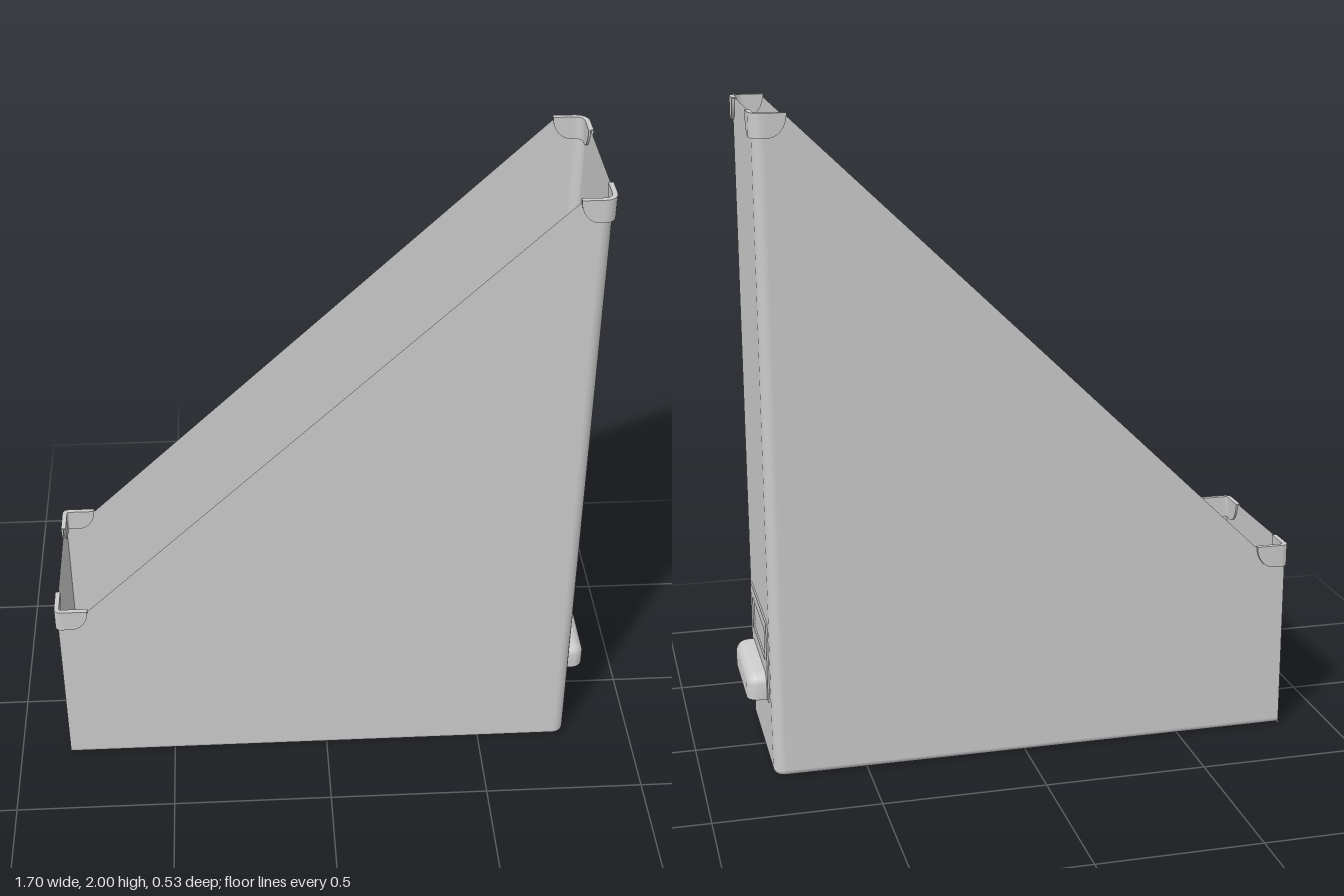
import * as THREE from 'three';
import { toCreasedNormals } from 'three/addons/utils/BufferGeometryUtils.js';
import { RoundedBoxGeometry } from 'three/addons/geometries/RoundedBoxGeometry.js';

const X0 = -0.84, X1 = 0.785, Z = 0.255;   // body limits
const LOW = 0.61, HIGH = 2;                // rim heights
const SLOPE0 = -0.74, SLOPE1 = 0.7;        // x where the sloped rim starts and ends

const rimHeight = (x) =>
  LOW + (HIGH - LOW) * THREE.MathUtils.clamp((x - SLOPE0) / (SLOPE1 - SLOPE0), 0, 1);

// Surface through rows of points that all have the same length
function loft(rows, closed = false) {
  const n = rows[0].length, index = [];
  for (let i = 0; i < rows.length - 1; i++) {
    for (let j = 0; j < (closed ? n : n - 1); j++) {
      const k = (j + 1) % n;
      const a = i * n + j, b = i * n + k, c = a + n, d = b + n;
      index.push(a, b, c, b, d, c);
    }
  }
  const g = new THREE.BufferGeometry();
  g.setAttribute('position', new THREE.Float32BufferAttribute(rows.flat(2), 3));
  g.setIndex(index);
  g.computeVertexNormals();
  return g;
}

// Plan outline of the two sides and the spine, moved inwards by d
function outline(d) {
  const r = 0.035 - d, half = [];
  for (const x of [X0, SLOPE0, SLOPE1]) half.push([x, Z - d]);
  for (let i = 0; i <= 6; i++) {
    const a = (i / 6) * Math.PI / 2;
    half.push([X1 - 0.035 + r * Math.sin(a), Z - 0.035 + r * Math.cos(a)]);
  }
  return [...half, ...half.map(([x, z]) => [x, -z]).reverse()];
}

// Sides and spine in one sheet, with a rounded lip turned in at the bottom
function shellGeometry() {
  const R = 0.02, rows = [];
  for (let i = 0; i <= 5; i++) {
    const a = (i / 5) * Math.PI / 2;
    rows.push(outline(R * (1 - Math.sin(a))).map(([x, z]) => [x, R * (1 - Math.cos(a)), z]));
  }
  rows.push(outline(0).map(([x, z]) => [x, rimHeight(x), z]));
  return loft(rows);
}

// Bent corner guard: thin section swept round the corner, lower ends rounded off
function guardGeometry(sx, sz, cx, top, r) {
  const W = 0.095, H = 0.07, CURVE = 0.055, OUT = 0.009, IN = 0.006;
  const stations = [];                       // [distance x, distance z, normal x, normal z, drop]
  const leg = [];
  for (let i = 0; i <= 8; i++) {
    const a = (i / 8) * Math.PI / 2;
    leg.push([W - CURVE * (1 - Math.cos(a)), Math.max(H * Math.sin(a), 0.001)]);
  }
  leg.forEach(([s, h]) => stations.push([s, 0, 0, 1, h]));
  for (let i = 0; i <= 6; i++) {
    const a = (i / 6) * Math.PI / 2;
    stations.push([r - r * Math.sin(a), r - r * Math.cos(a), Math.sin(a), Math.cos(a), H]);
  }
  leg.reverse().forEach(([s, h]) => stations.push([0, s, 1, 0, h]));
  const rows = stations.map(([dx, dz, nx, nz, h]) => {
    const p = (o, y) => [cx + sx * (nx * o - dx), y, sz * (Z + nz * o - dz)];
    return [p(OUT, top), p(OUT, top - h), p(-IN, top - h), p(-IN, top)];
  });
  return toCreasedNormals(loft(rows, true), 0.6);
}

// Label frame on the spine, with a window
function frameGeometry() {
  const rect = (P, x0, y0, x1, y1) => {
    const s = new P();
    s.moveTo(x0, y0);
    s.lineTo(x1, y0);
    s.lineTo(x1, y1);
    s.lineTo(x0, y1);
    s.closePath();
    return s;
  };
  const shape = rect(THREE.Shape, -0.185, 0.22, 0.19, 0.475);
  shape.holes.push(rect(THREE.Path, -0.14, 0.34, 0.14, 0.44));
  const g = new THREE.ExtrudeGeometry(shape, { depth: 0.008, bevelEnabled: false });
  return g.rotateY(Math.PI / 2).translate(X1 - 0.003, 0, 0);
}

// Finger pull: rounded block with a flat underside and back
function pullGeometry() {
  const g = new RoundedBoxGeometry(0.12, 0.16, 0.335, 5, 0.038);
  const p = g.attributes.position;
  for (let i = 0; i < p.count; i++) {
    p.setXYZ(i, Math.max(p.getX(i), 0), Math.max(p.getY(i), 0), p.getZ(i));
  }
  return toCreasedNormals(g, 0.6).translate(0.788, 0.22, 0.002);
}

export function createModel() {
  const group = new THREE.Group();
  const material = new THREE.MeshStandardMaterial({ color: 0xcccccc, side: THREE.DoubleSide });
  const add = (name, geometry) => {
    const mesh = new THREE.Mesh(geometry, material);
    mesh.name = name;
    group.add(mesh);
  };

  add('sidesAndSpine', shellGeometry());

  // Low end wall
  const end = new THREE.PlaneGeometry(2 * Z, LOW);
  add('lowEndWall', end.rotateY(-Math.PI / 2).translate(X0, LOW / 2, 0));

  // Guards on the four rim corners
  for (const sz of [1, -1]) {
    const side = sz > 0 ? 'Front' : 'Back';
    add('highCornerGuard' + side, guardGeometry(1, sz, X1, HIGH, 0.03));
    add('lowCornerGuard' + side, guardGeometry(-1, sz, X0, LOW, 0.01));
  }

  add('labelFrame', frameGeometry());
  add('fingerPull', pullGeometry());
  return group;
}
